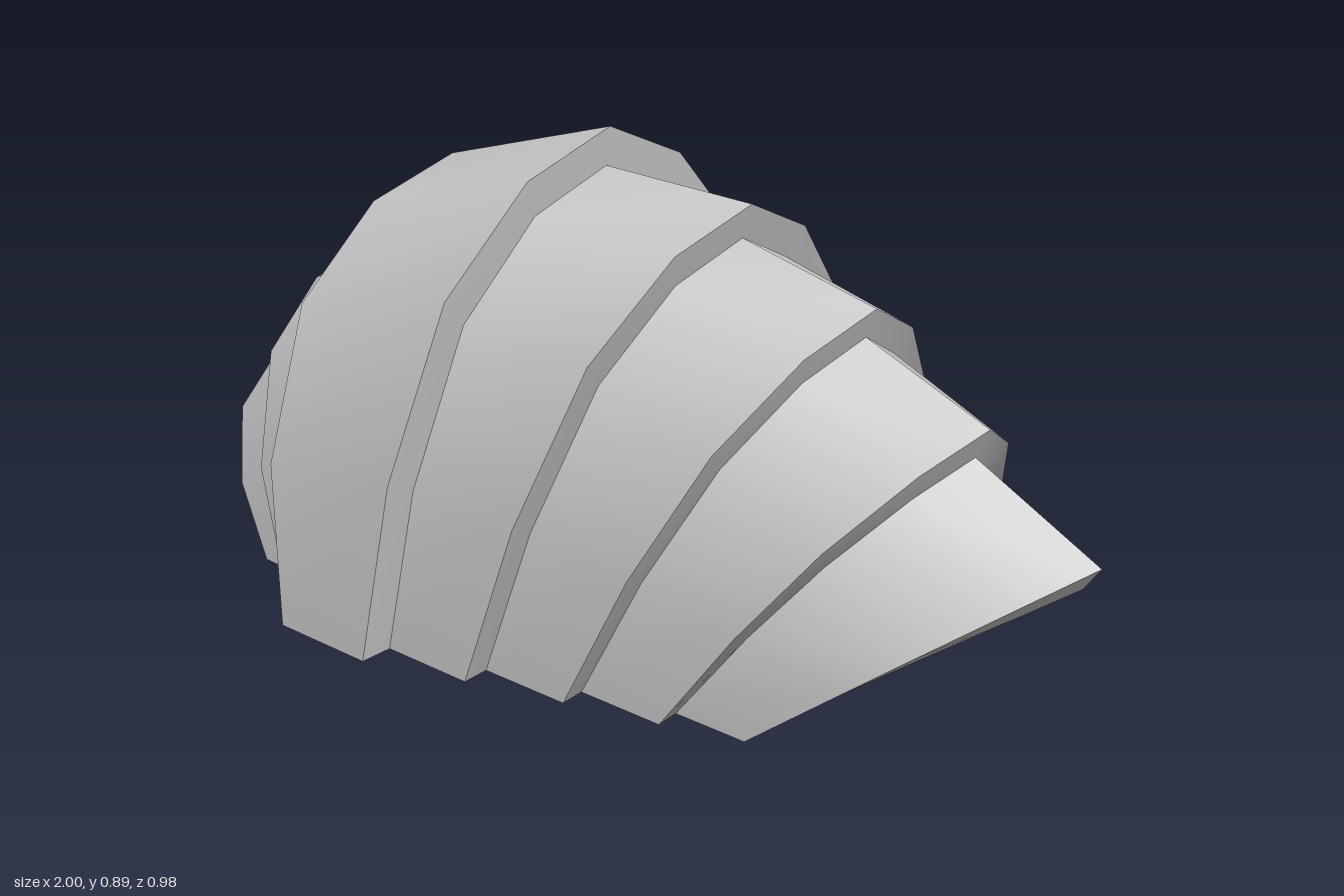
import * as THREE from 'three';
import { toCreasedNormals } from 'three/addons/utils/BufferGeometryUtils.js';

// Arch profiles as [z / halfWidth, y / height], from the front foot over the ridge to the back foot
const ROUND = [[1, 0], [0.935, 0.36], [0.73, 0.71], [0.385, 0.917], [0, 1],
  [-0.385, 0.92], [-0.73, 0.74], [-0.935, 0.46], [-1, 0]];
const POINTED = [[1, 0], [0.95, 0.36], [0.76, 0.61], [0.36, 0.86], [0, 1],
  [-0.36, 0.86], [-0.76, 0.61], [-0.95, 0.38], [-1, 0]];

const material = new THREE.MeshStandardMaterial({ color: 0xcccccc, side: THREE.DoubleSide });

// Leaning arch: x runs from foot to top (bowed sideways), h = ridge height, w = half width,
// tip = 0 for the round profile, 1 for the pointed one
function arch({ foot, top, h, w, bow = 0, tip = 0 }) {
  return ROUND.map(([ru, rv], i) => {
    const u = THREE.MathUtils.lerp(ru, POINTED[i][0], tip);
    const v = THREE.MathUtils.lerp(rv, POINTED[i][1], tip);
    return [foot + (top - foot) * v + bow * 4 * v * (1 - v), v * h, u * w];
  });
}

function makeMesh(name, points, index) {
  const g = new THREE.BufferGeometry();
  g.setAttribute('position', new THREE.Float32BufferAttribute(points.flat(), 3));
  g.setIndex(index);
  const mesh = new THREE.Mesh(toCreasedNormals(g, 0.95), material);
  mesh.name = name;
  return mesh;
}

// Sheet through several arches, listed from -x to +x along the surface
function plate(name, edges) {
  const n = ROUND.length, idx = [];
  for (let k = 0; k < edges.length - 1; k++) {
    for (let i = 0; i < n - 1; i++) {
      const a = k * n + i, b = a + n;
      idx.push(a, b, b + 1, a, b + 1, a + 1);
    }
  }
  return makeMesh(name, edges.flatMap(arch), idx);
}

// Flat panel closing an arch
function endPanel(name, edge) {
  const idx = [];
  for (let i = 1; i < ROUND.length; i++) idx.push(0, i, i + 1);
  return makeMesh(name, [[edge.foot, 0, 0], ...arch(edge)], idx);
}

export function createModel() {
  const group = new THREE.Group();
  group.name = 'layeredShoulderGuard';

  // Plates towards +x: rim, then the lip folded inwards, on which the next plate starts
  const outer = [
    [{ foot: -0.15, top: -0.03, h: 0.89, w: 0.488 }, { foot: -0.16, top: -0.04, h: 0.82, w: 0.42 }],
    [{ foot: 0.04, top: 0.30, h: 0.80, w: 0.42 }, { foot: 0.03, top: 0.28, h: 0.74, w: 0.363 }],
    [{ foot: 0.22, top: 0.565, h: 0.67, w: 0.362, tip: 0.2 }, { foot: 0.21, top: 0.545, h: 0.62, w: 0.31, tip: 0.2 }],
    [{ foot: 0.39, top: 0.79, h: 0.52, w: 0.31, tip: 0.5 }, { foot: 0.38, top: 0.765, h: 0.47, w: 0.26, tip: 0.6 }],
    [{ foot: 0.53, top: 1.0, h: 0.35, w: 0.26, tip: 1 }, { foot: 0.51, top: 0.97, h: 0.31, w: 0.21, tip: 1 }],
  ];

  // Plates towards -x, built the same way
  const inner = [
    [{ foot: -0.38, top: -0.45, h: 0.79, w: 0.488, bow: -0.035 }, { foot: -0.38, top: -0.45, h: 0.70, w: 0.38, bow: -0.035 }],
    [{ foot: -0.53, top: -0.70, h: 0.58, w: 0.37, bow: -0.035 }, { foot: -0.525, top: -0.69, h: 0.50, w: 0.315, bow: -0.035 }],
    [{ foot: -0.67, top: -0.895, h: 0.36, w: 0.31, bow: -0.02 }, { foot: -0.66, top: -0.88, h: 0.30, w: 0.25, bow: -0.02, tip: 0.6 }],
  ];
  const end = { foot: -0.73, top: -1.0, h: 0.20, w: 0.25, tip: 1 };

  group.add(plate('mainPlate', [inner[0][1], inner[0][0], ...outer[0]]));
  for (let i = 1; i < outer.length; i++) {
    group.add(plate('outerPlate' + i, [outer[i - 1][1], ...outer[i]]));
  }
  for (let i = 1; i < inner.length; i++) {
    group.add(plate('innerPlate' + i, [inner[i][1], inner[i][0], inner[i - 1][1]]));
  }
  group.add(plate('innerPlate3', [end, inner[2][1]]));
  group.add(endPanel('endPanel', end));

  return group;
}
